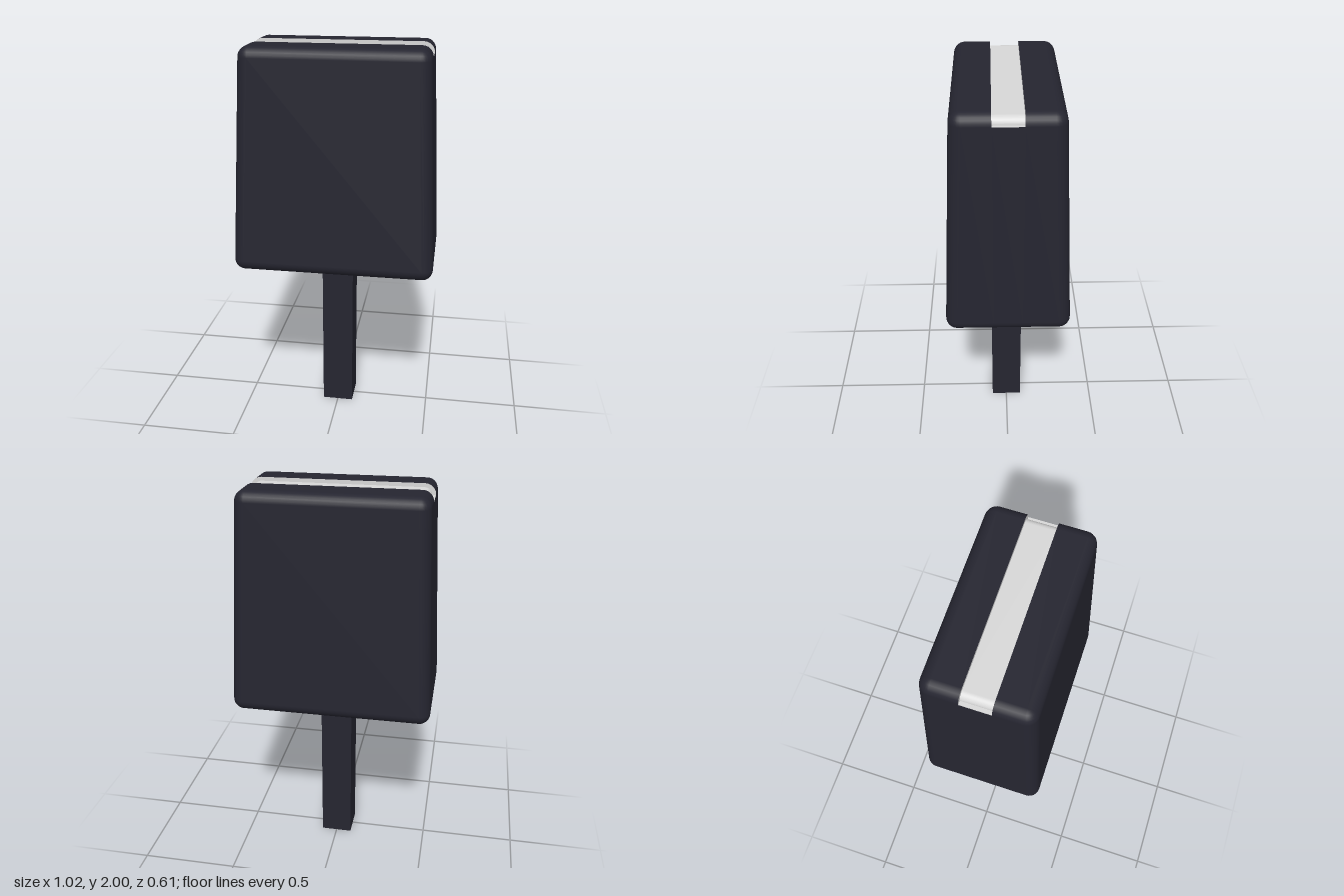
import * as THREE from 'three';

const R = 0.055;        // edge rounding
const SLOT = 0.071;     // half width of the top slot
const T0 = 0.049;       // lean of the side walls
const STEPS = 6;
const LOW = { y: 0.925, x: 0.455, z: 0.25 };   // centres of the lower rounding
const HIGH = { y: 1.945, x: 0.405, z: 0.2 };   // centres of the upper rounding

// Tapered rounded block built from stacked rings, left open where the slot runs.
function bodyGeometry() {
  // One ring: four rounded corners plus the slot edges on each side.
  const ring = [];
  const corner = (sx, sz, start) => {
    for (let i = 0; i <= STEPS; i++) ring.push({ sx, sz, a: start + (i / STEPS) * Math.PI / 2 });
  };
  corner(1, 1, 0);
  corner(-1, 1, Math.PI / 2);
  ring.push({ sx: -1, z: SLOT, a: Math.PI }, { sx: -1, z: -SLOT, a: Math.PI });
  corner(-1, -1, Math.PI);
  corner(1, -1, Math.PI * 1.5);
  ring.push({ sx: 1, z: -SLOT, a: 0 }, { sx: 1, z: SLOT, a: 0 });

  const levels = [];
  for (let i = 0; i <= STEPS; i++) {
    levels.push({ core: LOW, t: THREE.MathUtils.lerp(-Math.PI / 2, T0, i / STEPS) });
  }
  for (let i = 0; i <= STEPS; i++) {
    levels.push({ core: HIGH, t: THREE.MathUtils.lerp(T0, Math.PI / 2, i / STEPS) });
  }

  const pos = [], nor = [], idx = [];
  for (const { core, t } of levels) {
    const c = Math.cos(t), s = Math.sin(t);
    for (const p of ring) {
      const nx = Math.cos(p.a) * c, nz = Math.sin(p.a) * c;
      const z = p.z !== undefined ? p.z : p.sz * core.z + R * nz;
      pos.push(p.sx * core.x + R * nx, core.y + R * s, z);
      nor.push(nx, s, nz);
    }
  }

  const n = ring.length;
  const slotA = 2 * STEPS + 2, slotB = n - 2;   // ring spans crossed by the slot
  for (let j = 0; j < levels.length - 1; j++) {
    for (let i = 0; i < n; i++) {
      if (j > STEPS && (i === slotA || i === slotB)) continue;
      const k = (i + 1) % n, a = j * n + i, b = j * n + k;
      idx.push(a, a + n, b + n, a, b + n, b);
    }
  }
  // Bottom cap, then one top cap on each side of the slot.
  for (let i = 1; i < n - 1; i++) idx.push(0, i, i + 1);
  const top = (levels.length - 1) * n;
  for (let i = 0; i < slotA; i++) idx.push(top + n - 1, top + i + 1, top + i);
  for (let i = slotA + 2; i < slotB; i++) idx.push(top + slotA + 1, top + i + 1, top + i);

  const g = new THREE.BufferGeometry();
  g.setAttribute('position', new THREE.Float32BufferAttribute(pos, 3));
  g.setAttribute('normal', new THREE.Float32BufferAttribute(nor, 3));
  g.setIndex(idx);
  return g;
}

// Strip profile: flat centre, rounded drop at both ends, small flat lip.
function stripGeometry() {
  const s = new THREE.Shape();
  const r = 0.035, yLip = 1.946, yBase = 1.942, x = 0.44, end = 0.458;
  s.moveTo(-end, yBase);
  s.lineTo(end, yBase);
  s.lineTo(end, yLip);
  s.lineTo(x, yLip);
  s.absarc(x - r, yLip, r, 0, Math.PI / 2, false);
  s.absarc(-x + r, yLip, r, Math.PI / 2, Math.PI, false);
  s.lineTo(-end, yLip);
  s.closePath();
  const g = new THREE.ExtrudeGeometry(s, { depth: 2 * SLOT, bevelEnabled: false, curveSegments: 8 });
  return g.translate(0, 0, -SLOT);
}

// Slot wall: the rounded top edge of the block, cut lengthwise.
function wallGeometry() {
  const s = new THREE.Shape();
  s.moveTo(-HIGH.x - R, HIGH.y);
  s.lineTo(HIGH.x + R, HIGH.y);
  s.absarc(HIGH.x, HIGH.y, R, 0, Math.PI / 2, false);
  s.absarc(-HIGH.x, HIGH.y, R, Math.PI / 2, Math.PI, false);
  return new THREE.ShapeGeometry(s, STEPS);
}

export function createModel() {
  const dark = new THREE.MeshStandardMaterial({ color: 0x252530 });
  dark.name = 'darkShell';
  const light = new THREE.MeshStandardMaterial({ color: 0xd8d8d8, side: THREE.DoubleSide });
  light.name = 'lightStrip';

  const model = new THREE.Group();
  model.name = 'model';
  const add = (name, geometry, material) => {
    const mesh = new THREE.Mesh(geometry, material);
    mesh.name = name;
    model.add(mesh);
    return mesh;
  };

  add('body', bodyGeometry(), dark);
  add('strip', stripGeometry(), light);
  for (const side of [1, -1]) {
    add(side > 0 ? 'frontSlotWall' : 'backSlotWall', wallGeometry(), light).position.z = side * SLOT;
  }

  // Square post the block stands on
  add('post', new THREE.BoxGeometry(0.164, 0.88, 0.164), dark).position.y = 0.44;
  return model;
}
